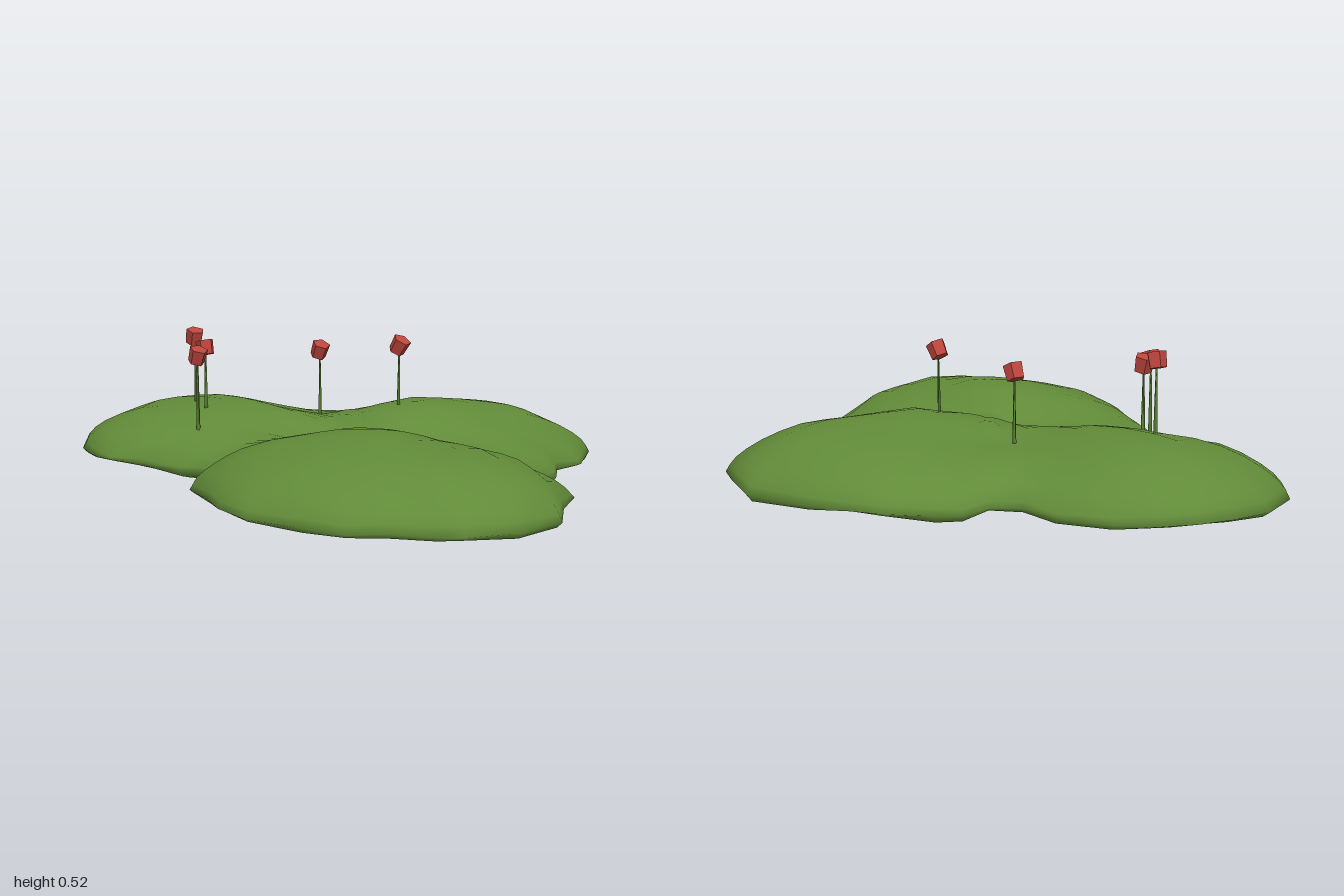
import * as THREE from 'three';
import { mergeVertices } from 'three/addons/utils/BufferGeometryUtils.js';

const green = new THREE.MeshStandardMaterial({ color: 0x618a38 });
green.name = 'leafGreen';
const red = new THREE.MeshStandardMaterial({ color: 0xbe463d });
red.name = 'flowerRed';

const { lerp, smoothstep } = THREE.MathUtils;

// Three-lobed outline, clockwise from above, as x, z pairs
const OUTLINE = [
  -1, -0.22, -0.97, -0.4, -0.88, -0.53, -0.8, -0.62, -0.72, -0.67, -0.55, -0.72, -0.35, -0.71,
  -0.21, -0.65, -0.1, -0.69, -0.05, -0.79, 0.03, -0.83, 0.2, -0.89, 0.31, -0.9, 0.48, -0.88,
  0.74, -0.83, 0.87, -0.71, 0.99, -0.58, 0.98, -0.31, 0.9, -0.22, 0.91, -0.08, 0.84, 0.07,
  0.92, 0.14, 1, 0.22, 0.98, 0.4, 0.99, 0.56, 0.88, 0.72, 0.72, 0.83, 0.64, 0.85, 0.48, 0.85,
  0.36, 0.9, 0.2, 0.85, 0, 0.8, -0.13, 0.69, -0.2, 0.58, -0.31, 0.46, -0.31, 0.28, -0.26, 0.18,
  -0.46, 0.16, -0.62, 0.1, -0.78, 0.08, -0.88, 0, -0.96, -0.1,
];
const HUB = [0.2, -0.05];

// Rings as shares of the outline, and the underside height of each lower ring
const LOWER = [[0, 0.03], [0.4, 0.03], [0.75, 0.028], [0.93, 0.026], [0.98, 0.03]];
const UPPER = [1, 0.985, 0.96, 0.92, 0.86, 0.79, 0.71, 0.62, 0.52, 0.41, 0.29, 0.15, 0];

// Height of the top by distance from the edge
const SLOPE = [[0, 0.048], [0.02, 0.09], [0.05, 0.12], [0.1, 0.155], [0.17, 0.19],
  [0.25, 0.22], [0.35, 0.242], [0.5, 0.27]];

const corners = [];
for (let i = 0; i < OUTLINE.length; i += 2) {
  corners.push(new THREE.Vector3(OUTLINE[i], 0, OUTLINE[i + 1]));
}
const edges = corners.map((p, i) => new THREE.Line3(p, corners[(i + 1) % corners.length]));

function topHeight(x, z) {
  const point = new THREE.Vector3(x, 0, z);
  const nearest = new THREE.Vector3();
  const d = Math.min(...edges.map((e) => e.closestPointToPoint(point, true, nearest).distanceTo(point)));
  const k = SLOPE.findIndex(([limit]) => limit > d);
  let y = SLOPE[SLOPE.length - 1][1];
  if (k > 0) {
    const [d0, y0] = SLOPE[k - 1];
    const [d1, y1] = SLOPE[k];
    y = lerp(y0, y1, (d - d0) / (d1 - d0));
  }
  // Valley in front of the back lobes, and saddle between those two
  const valley = 0.1 * Math.exp(-((z / 0.16) ** 2)) * smoothstep(x, -0.35, 0);
  const saddle = 0.055 * Math.exp(-((x / 0.22) ** 2)) * smoothstep(-z, 0.05, 0.3);
  return y - Math.max(valley, saddle) * Math.min(1, d / 0.35);
}

// Closed lobed mound: rings run from the underside hub over the rim to the top hub
function makeMound() {
  const n = corners.length;
  const rings = [...LOWER, ...UPPER.map((share) => [share, null])];
  const positions = [];
  const index = [];
  rings.forEach(([share, under], i) => {
    corners.forEach((corner, j) => {
      const x = lerp(HUB[0], corner.x, share);
      const z = lerp(HUB[1], corner.z, share);
      const bump = Math.sin(9 * x + 2) * Math.sin(10 * z + 1);
      const y = under === null ? topHeight(x, z) + 0.004 * bump : under + 0.018 * bump * share;
      positions.push(x, y, z);
      if (i === rings.length - 1) return;
      const a = i * n + j;
      const b = i * n + (j + 1) % n;
      index.push(a, a + n, b, b, a + n, b + n);
    });
  });
  const sheet = new THREE.BufferGeometry();
  sheet.setAttribute('position', new THREE.Float32BufferAttribute(positions, 3));
  sheet.setIndex(index);
  const geometry = mergeVertices(sheet, 1e-5);
  geometry.computeVertexNormals();
  const mesh = new THREE.Mesh(geometry, green);
  mesh.name = 'leafyMound';
  return mesh;
}

// Flowers: x, z, height of the head, foot of the stem, tilt of the head about x and z
const FLOWERS = [
  [-0.525, -0.22, 0.495, 0.21, 0.2, -0.2],
  [-0.455, -0.145, 0.465, 0.21, -0.15, 0.2],
  [-0.432, 0.013, 0.455, 0.16, 0.2, -0.3],
  [-0.05, -0.345, 0.443, 0.17, 0.3, -0.35],
  [0.288, -0.25, 0.485, 0.18, 0.25, -0.5],
];

function makeFlower([x, z, top, foot, tiltX, tiltZ], i) {
  const flower = new THREE.Group();
  flower.name = 'flower' + (i + 1);

  // Thin three-sided stem
  const stem = new THREE.Mesh(new THREE.CylinderGeometry(0.003, 0.009, top - foot, 3), green);
  stem.name = 'stem';
  stem.position.set(x, (top + foot) / 2, z);
  stem.rotation.y = i * 1.3;

  // Five-sided head with flat faces, slightly tilted
  const headGeometry = new THREE.CylinderGeometry(0.036, 0.032, 0.056, 5).toNonIndexed();
  headGeometry.computeVertexNormals();
  const head = new THREE.Mesh(headGeometry, red);
  head.name = 'flowerHead';
  head.position.set(x, top, z);
  head.rotation.set(tiltX, i * 1.1, tiltZ, 'XZY');

  flower.add(stem, head);
  return flower;
}

export function createModel() {
  const group = new THREE.Group();
  group.name = 'floweringBush';
  group.add(makeMound());
  FLOWERS.forEach((flower, i) => group.add(makeFlower(flower, i)));
  return group;
}
